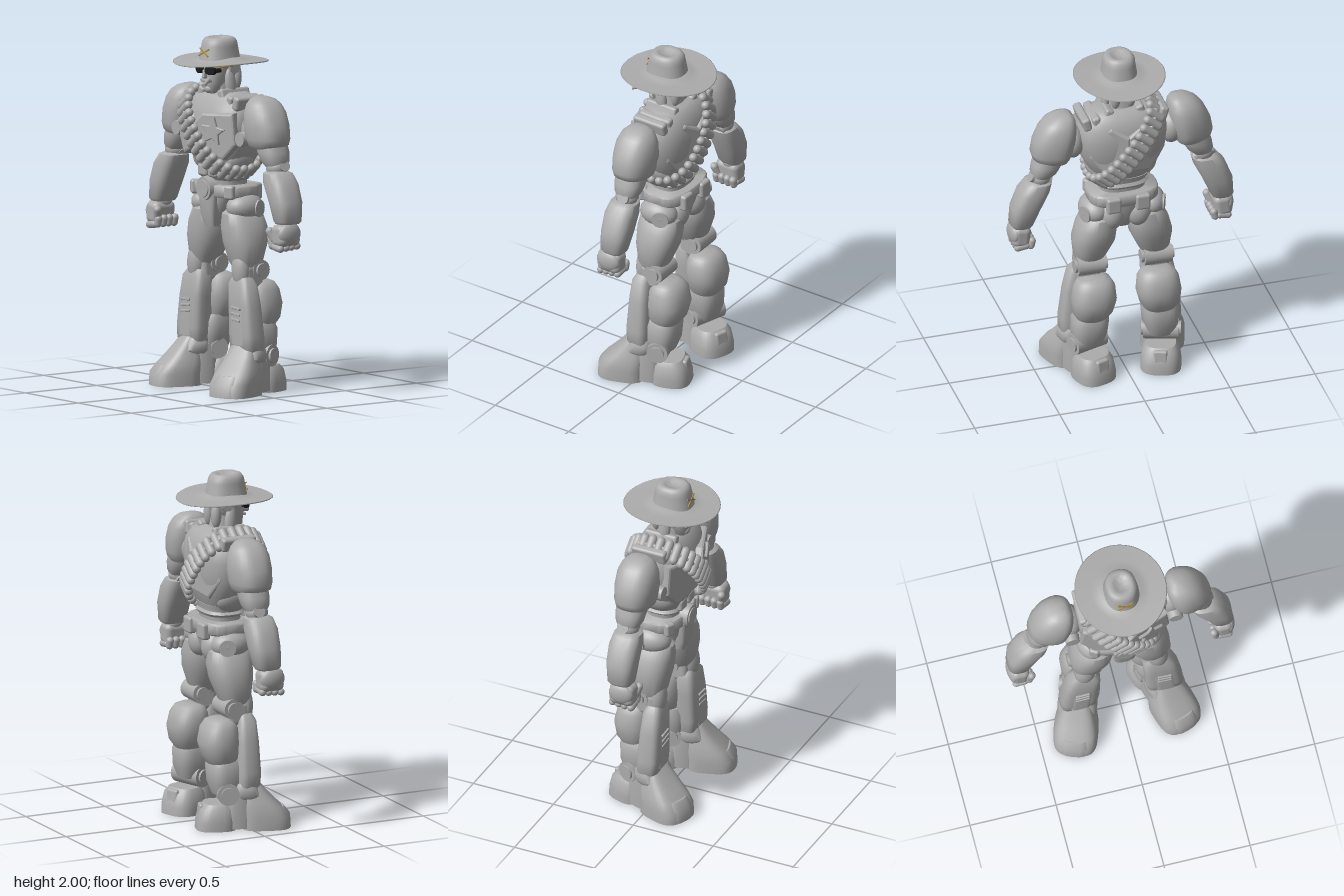
import * as THREE from 'three';
import { toCreasedNormals } from 'three/addons/utils/BufferGeometryUtils.js';
import { RoundedBoxGeometry } from 'three/addons/geometries/RoundedBoxGeometry.js';

const grey = new THREE.MeshStandardMaterial({ color: 0xacacac });
grey.name = 'grey';
const black = new THREE.MeshStandardMaterial({ color: 0x1a1a1a });
black.name = 'black';
const gold = new THREE.MeshStandardMaterial({ color: 0xb08a3c });
gold.name = 'gold';

const spow = (v, p) => Math.sign(v) * Math.abs(v) ** p;

// Superellipse rings [y, cx, cz, rx, rz], listed from bottom to top
function loft(rings, n = 2.6, s = 1, seg = 28) {
  const pos = [], idx = [];
  for (const [y, cx, cz, rx, rz] of rings)
    for (let i = 0; i < seg; i++) {
      const a = (i / seg) * Math.PI * 2;
      pos.push(cx * s + rx * spow(Math.cos(a), 2 / n), y, cz + rz * spow(Math.sin(a), 2 / n));
    }
  const last = rings.length - 1;
  for (let j = 0; j < last; j++)
    for (let i = 0; i < seg; i++) {
      const a = j * seg + i, b = j * seg + (i + 1) % seg;
      idx.push(a, a + seg, b, b, a + seg, b + seg);
    }
  for (const k of [0, last]) {
    const c = pos.length / 3, [y, cx, cz] = rings[k];
    pos.push(cx * s, y, cz);
    for (let i = 0; i < seg; i++) {
      const a = k * seg + i, b = k * seg + (i + 1) % seg;
      if (k) idx.push(c, b, a); else idx.push(c, a, b);
    }
  }
  const g = new THREE.BufferGeometry();
  g.setAttribute('position', new THREE.Float32BufferAttribute(pos, 3));
  g.setIndex(idx);
  return toCreasedNormals(g, 0.8);
}

const ball = (rx, ry, rz) => new THREE.SphereGeometry(1, 24, 16).scale(rx, ry, rz);
const box = (w, h, d, r = 0.015) => new RoundedBoxGeometry(w, h, d, 3, Math.min(r, w / 3, h / 3, d / 3));
const discX = (r, len) => new THREE.CylinderGeometry(r, r, len, 24).rotateZ(Math.PI / 2);
const discZ = (r, len) => new THREE.CylinderGeometry(r, r * 1.1, len, 28).rotateX(Math.PI / 2);

function add(parent, name, geo, p = [0, 0, 0], r = [0, 0, 0], mat = grey) {
  const m = new THREE.Mesh(geo, mat);
  m.name = name;
  m.position.set(...p);
  m.rotation.set(...r);
  parent.add(m);
  return m;
}

// Bevelled plate from a flat outline
function plate(points, depth, bevel) {
  const shape = new THREE.Shape(points.map(([x, y]) => new THREE.Vector2(x, y)));
  return new THREE.ExtrudeGeometry(shape, { depth, bevelEnabled: true, bevelSize: bevel, bevelThickness: bevel, bevelSegments: 2 });
}

function rod(parent, name, a, b, r, mat) {
  const va = new THREE.Vector3(...a), vb = new THREE.Vector3(...b), d = vb.clone().sub(va);
  const m = add(parent, name, new THREE.CylinderGeometry(r, r, d.length(), 12), [0, 0, 0], [0, 0, 0], mat);
  m.position.copy(va).add(vb).multiplyScalar(0.5);
  m.quaternion.setFromUnitVectors(new THREE.Vector3(0, 1, 0), d.normalize());
}

function buildHead(g) {
  add(g, 'neck', loft([[1.62, 0, -0.02, 0.09, 0.09], [1.7, 0, -0.01, 0.07, 0.075], [1.78, 0, 0, 0.065, 0.075]]));
  add(g, 'head', loft([[1.685, 0, 0.055, 0.035, 0.035], [1.7, 0, 0.045, 0.05, 0.055], [1.75, 0, 0.025, 0.066, 0.083],
    [1.8, 0, 0.008, 0.08, 0.1], [1.88, 0, 0.008, 0.088, 0.103]]));
  add(g, 'nose', box(0.022, 0.05, 0.03), [0, 1.795, 0.113], [-0.2, 0, 0]);
  add(g, 'moustache', box(0.09, 0.018, 0.03), [0, 1.758, 0.1]);
  add(g, 'chin', ball(0.035, 0.025, 0.025), [0, 1.71, 0.085]);
  for (const s of [1, -1]) {
    add(g, 'ear', discX(0.036, 0.025), [s * 0.09, 1.835, -0.025]);
    add(g, 'sideHair', ball(0.025, 0.095, 0.035), [s * 0.085, 1.735, -0.005], [0.1, 0, s * 0.06]);
    add(g, 'backHair', ball(0.03, 0.075, 0.03), [s * 0.045, 1.77, -0.075]);
    add(g, 'lens', discZ(0.036, 0.022).scale(1, 0.68, 1), [s * 0.051, 1.82, 0.111], [0, s * 0.25, 0], black);
    rod(g, 'lensSide', [s * 0.083, 1.822, 0.1], [s * 0.088, 1.824, 0.07], 0.014, black);
    rod(g, 'glassesArm', [s * 0.094, 1.838, 0.1], [s * 0.102, 1.842, -0.01], 0.004, gold);
    rod(g, 'glassesRim', [0, 1.838, 0.124], [s * 0.094, 1.842, 0.1], 0.0035, gold);
  }
  rod(g, 'cigar', [0.025, 1.766, 0.1], [0.09, 1.745, 0.19], 0.012, grey);
  // Hat: brim lifts a little at the sides and drops front and back
  const brim = new THREE.LatheGeometry([[0.02, 1.858], [0.15, 1.856], [0.272, 1.858], [0.278, 1.862], [0.272, 1.866],
    [0.18, 1.866], [0.13, 1.874], [0.1, 1.89], [0.02, 1.89]].map(([x, y]) => new THREE.Vector2(x, y)), 56);
  const p = brim.attributes.position;
  for (let i = 0; i < p.count; i++) {
    const x = p.getX(i) * 0.935, z = p.getZ(i);
    p.setXYZ(i, x, p.getY(i) + 0.18 * x * x - 0.09 * z * z, z);
  }
  brim.computeVertexNormals();
  add(g, 'hatBrim', brim);
  add(g, 'hatCrown', loft([[1.855, 0, 0.01, 0.106, 0.122], [1.885, 0, 0.01, 0.1, 0.116], [1.95, 0, 0.01, 0.09, 0.104],
    [1.975, 0, 0.01, 0.088, 0.098], [1.993, 0, 0.01, 0.076, 0.086], [2, 0, 0.01, 0.06, 0.068], [1.992, 0, 0.01, 0.04, 0.047],
    [1.982, 0, 0.01, 0.02, 0.03]], 2.3));
  for (const s of [1, -1])
    add(g, 'hatEmblem', new THREE.BoxGeometry(0.095, 0.007, 0.006), [0, 1.918, 0.12], [-0.18, 0, s * 0.45], gold);
}

function buildTorso(g) {
  add(g, 'chest', loft([[1.23, 0, -0.02, 0.14, 0.105], [1.32, 0, -0.025, 0.2, 0.145], [1.42, 0, -0.022, 0.25, 0.17],
    [1.53, 0, -0.025, 0.262, 0.175], [1.61, 0, -0.03, 0.25, 0.155], [1.67, 0, -0.03, 0.21, 0.12], [1.695, 0, -0.03, 0.14, 0.085]], 2.6));
  for (const s of [1, -1]) {
    const flip = pts => s > 0 ? pts : pts.map(([x, y]) => [-x, y]).reverse();
    const front = flip([[-0.02, 1.4], [0.16, 1.34], [0.235, 1.42], [0.22, 1.58], [0.03, 1.57], [-0.02, 1.52]]);
    add(g, 'chestPlate', plate(front, 0.07, 0.014), [0, 0, 0.105], [0, s * 0.35, 0]);
    const back = flip([[0.01, 1.36], [0.13, 1.33], [0.215, 1.43], [0.21, 1.58], [0.1, 1.61], [0.01, 1.56]]);
    add(g, 'backPlate', plate(back, 0.05, 0.014), [0, 0, -0.205], [0, -s * 0.35, 0]);
    add(g, 'collar', box(0.05, 0.1, 0.2), [s * 0.1, 1.665, -0.02], [0, 0, s * 0.35]);
    for (const x of [0.165, 0.225])
      add(g, 'shoulderStrap', box(0.05, 0.08, 0.21, 0.02), [s * x, 1.645, -0.03], [0, 0, -s * 0.25]);
    add(g, 'ribPad', ball(0.055, 0.085, 0.1), [s * 0.145, 1.3, -0.02], [0, 0, -s * 0.5]);
    add(g, 'abdomenPad', box(0.08, 0.07, 0.05, 0.02), [s * 0.047, 1.245, 0.08]);
  }
  add(g, 'waist', loft([[1.14, 0, -0.03, 0.14, 0.1], [1.2, 0, -0.03, 0.13, 0.1], [1.26, 0, -0.03, 0.16, 0.115]]));
  add(g, 'waistRib', loft([[1.195, 0, -0.03, 0.14, 0.11], [1.21, 0, -0.03, 0.155, 0.12], [1.225, 0, -0.03, 0.14, 0.11]]));
  // Five-pointed badge
  const star = Array.from({ length: 10 }, (_, i) => {
    const a = Math.PI / 2 + i * Math.PI / 5, r = i % 2 ? 0.033 : 0.075;
    return [r * Math.cos(a), r * Math.sin(a)];
  });
  add(g, 'starBadge', plate(star, 0.008, 0.006), [0.13, 1.485, 0.15], [0, 0.35, -0.12]);
  // Cartridge belt looping over the right shoulder and under the left ribs
  const d = new THREE.Vector3(0.63, -0.777, 0), tilt = Math.atan2(0.63, 0.777);
  const at = a => new THREE.Vector3(-0.015, 1.46, -0.015).addScaledVector(d, 0.283 * spow(Math.cos(a), 0.85))
    .add(new THREE.Vector3(0, 0, 0.208 * spow(Math.sin(a), 0.85)));
  const path = Array.from({ length: 96 }, (_, i) => at(i / 96 * Math.PI * 2));
  const curve = new THREE.CatmullRomCurve3(path, true);
  add(g, 'beltBand', new THREE.TubeGeometry(curve, 96, 0.014, 8, true));
  curve.getSpacedPoints(31).slice(0, 31).forEach(q =>
    add(g, 'cartridge', new THREE.CapsuleGeometry(0.025, 0.082, 5, 12), q.toArray(), [0, 0, tilt - Math.PI / 2]));
}

function buildHips(g) {
  add(g, 'pelvis', loft([[0.925, 0, -0.03, 0.045, 0.07], [0.98, 0, -0.03, 0.065, 0.11], [1.06, 0, -0.035, 0.11, 0.125], [1.15, 0, -0.04, 0.16, 0.13]]));
  add(g, 'crotchPlate', loft([[0.93, 0, 0.06, 0.045, 0.03], [1.0, 0, 0.075, 0.062, 0.035], [1.12, 0, 0.08, 0.07, 0.035]], 4));
  add(g, 'belt', loft([[1.1, 0, -0.04, 0.195, 0.135], [1.11, 0, -0.04, 0.205, 0.143], [1.16, 0, -0.04, 0.205, 0.143], [1.17, 0, -0.04, 0.195, 0.135]], 2.8));
  add(g, 'buckle', discZ(0.066, 0.05), [0, 1.145, 0.1]);
  add(g, 'buckleCentre', discZ(0.048, 0.016), [0, 1.145, 0.123]);
  for (const s of [1, -1]) {
    add(g, 'beltPouch', box(0.085, 0.095, 0.05, 0.015), [s * 0.085, 1.12, -0.175]);
    add(g, 'beltClip', box(0.06, 0.08, 0.05), [s * 0.165, 1.135, 0.06], [0, s * 0.5, 0]);
    add(g, 'hip', ball(0.085, 0.08, 0.115), [s * 0.165, 1.045, -0.045]);
    add(g, 'hipDisc', discX(0.048, 0.05), [s * 0.215, 1.04, -0.09], [0, s * 0.4, 0]);
    add(g, 'seat', ball(0.075, 0.09, 0.07), [s * 0.08, 1.02, -0.11]);
  }
}

function buildArm(g, s) {
  add(g, 'shoulderJoint', ball(0.07, 0.1, 0.09), [s * 0.29, 1.5, -0.03]);
  add(g, 'armpitDisc', discZ(0.04, 0.04), [s * 0.3, 1.455, 0.075]);
  // Shoulder pad narrows front to back towards its outer edge
  const pad = loft([[1.41, 0.405, -0.035, 0.085, 0.1], [1.43, 0.415, -0.035, 0.105, 0.118], [1.465, 0.413, -0.035, 0.118, 0.127],
    [1.54, 0.398, -0.035, 0.12, 0.13], [1.61, 0.379, -0.035, 0.107, 0.12], [1.655, 0.364, -0.035, 0.087, 0.098],
    [1.682, 0.35, -0.035, 0.062, 0.07], [1.695, 0.34, -0.035, 0.03, 0.035]], 2.7, s);
  const p = pad.attributes.position;
  for (let i = 0; i < p.count; i++)
    p.setZ(i, -0.035 + (p.getZ(i) + 0.035) * (1 - 1.6 * Math.max(0, Math.abs(p.getX(i)) - 0.36)));
  add(g, 'shoulderPad', toCreasedNormals(pad, 0.8));
  add(g, 'upperArm', loft([[1.31, 0.47, -0.04, 0.055, 0.06], [1.34, 0.458, -0.04, 0.075, 0.078], [1.39, 0.44, -0.04, 0.085, 0.087], [1.45, 0.42, -0.04, 0.08, 0.085]], 2.4, s));
  add(g, 'elbow', ball(0.062, 0.055, 0.065), [s * 0.478, 1.305, -0.04]);
  add(g, 'elbowDisc', discX(0.035, 0.12), [s * 0.48, 1.3, -0.05], [0, 0, s * 0.4]);
  add(g, 'forearm', loft([[1.0, 0.588, -0.03, 0.055, 0.065], [1.015, 0.588, -0.03, 0.066, 0.076], [1.12, 0.562, -0.035, 0.085, 0.087],
    [1.22, 0.518, -0.035, 0.09, 0.09], [1.275, 0.49, -0.035, 0.076, 0.078], [1.29, 0.485, -0.035, 0.05, 0.05]], 2.8, s));
  add(g, 'wrist', ball(0.05, 0.04, 0.055), [s * 0.585, 0.995, -0.025]);
  add(g, 'palm', box(0.105, 0.13, 0.15, 0.035), [s * 0.592, 0.935, -0.015], [0, 0, s * 0.08]);
  add(g, 'handGuard', ball(0.035, 0.065, 0.075), [s * 0.625, 0.945, -0.015]);
  for (let i = 0; i < 4; i++) {
    const z = 0.042 - i * 0.038;
    add(g, 'knuckle', new THREE.CapsuleGeometry(0.022, 0.05, 5, 12), [s * 0.592, 0.868 + i * 0.003, z], [0, 0, Math.PI / 2 - s * 0.15]);
    add(g, 'fingertip', new THREE.CapsuleGeometry(0.022, 0.03, 5, 12), [s * 0.538, 0.89, z], [0, 0, s * 0.25]);
  }
  add(g, 'thumb', new THREE.CapsuleGeometry(0.023, 0.05, 5, 12), [s * 0.538, 0.935, 0.045], [0.3, 0, s * 0.35]);
}

function buildLeg(g, s) {
  add(g, 'thigh', loft([[0.68, 0.195, -0.035, 0.06, 0.06], [0.74, 0.188, -0.035, 0.09, 0.09], [0.85, 0.168, -0.045, 0.122, 0.12],
    [0.94, 0.152, -0.048, 0.115, 0.13], [1.01, 0.14, -0.045, 0.088, 0.12], [1.05, 0.135, -0.04, 0.05, 0.06]], 2.4, s));
  add(g, 'knee', discX(0.058, 0.16), [s * 0.195, 0.695, -0.08]);
  add(g, 'kneeDisc', discX(0.038, 0.19), [s * 0.195, 0.695, -0.08]);
  add(g, 'kneeJoint', box(0.14, 0.14, 0.13, 0.03), [s * 0.2, 0.66, -0.04]);
  add(g, 'kneecap', ball(0.06, 0.115, 0.05), [s * 0.21, 0.7, 0.015], [0, 0, s * 0.08]);
  add(g, 'shin', loft([[0.235, 0.25, -0.005, 0.095, 0.06], [0.255, 0.25, 0, 0.105, 0.068], [0.33, 0.247, 0.003, 0.107, 0.07],
    [0.5, 0.232, 0.005, 0.1, 0.064], [0.62, 0.215, 0.007, 0.09, 0.056], [0.66, 0.21, 0.005, 0.06, 0.04]], 3.6, s));
  add(g, 'shinRidge', loft([[0.28, 0.25, 0.04, 0.06, 0.037], [0.45, 0.235, 0.04, 0.06, 0.034], [0.61, 0.215, 0.03, 0.045, 0.03]], 4, s));
  for (let i = 0; i < 3; i++)
    add(g, 'shinVent', box(0.08, 0.014, 0.016, 0.004), [s * 0.237, 0.42 + i * 0.033, 0.072], [0, 0, -s * 0.08]);
  add(g, 'calf', loft([[0.37, 0.2, -0.12, 0.085, 0.075], [0.42, 0.198, -0.13, 0.115, 0.1], [0.5, 0.19, -0.135, 0.128, 0.112],
    [0.58, 0.187, -0.13, 0.118, 0.1], [0.62, 0.187, -0.125, 0.095, 0.078], [0.635, 0.187, -0.12, 0.06, 0.05]], 2.4, s));
  add(g, 'lowerCalf', loft([[0.2, 0.215, -0.095, 0.08, 0.08], [0.27, 0.21, -0.1, 0.1, 0.1], [0.36, 0.205, -0.105, 0.105, 0.1], [0.4, 0.2, -0.105, 0.09, 0.085]], 2.8, s));

  const foot = new THREE.Group();
  foot.name = 'foot';
  foot.position.set(s * 0.25, 0, 0);
  foot.rotation.y = s * 0.32;
  g.add(foot);
  add(foot, 'toe', loft([[0, 0, 0.115, 0.125, 0.14], [0.07, 0, 0.113, 0.126, 0.137], [0.12, 0, 0.09, 0.12, 0.12], [0.16, 0, 0.07, 0.108, 0.1],
    [0.22, 0, 0.045, 0.09, 0.07], [0.275, 0, 0.025, 0.07, 0.045]], 3.2));
  add(foot, 'toeCap', loft([[0, 0, 0.175, 0.09, 0.085], [0.075, 0, 0.175, 0.088, 0.08], [0.12, 0, 0.155, 0.075, 0.065]], 3));
  add(foot, 'ankleBand', loft([[0.18, 0, 0.01, 0.1, 0.07], [0.2, 0, 0.01, 0.112, 0.082], [0.24, 0, 0, 0.108, 0.075], [0.27, 0, 0, 0.095, 0.06]], 3));
  add(foot, 'instep', loft([[0.01, 0, -0.04, 0.1, 0.09], [0.15, 0, -0.04, 0.1, 0.08], [0.25, 0, -0.04, 0.09, 0.07]], 3));
  add(foot, 'heel', loft([[0, 0, -0.165, 0.115, 0.115], [0.05, 0, -0.165, 0.115, 0.113], [0.12, 0, -0.16, 0.105, 0.1], [0.15, 0, -0.155, 0.085, 0.078]], 2.8));
  add(foot, 'heelPanel', box(0.08, 0.14, 0.04), [0, 0.075, -0.25], [0.12, 0, 0]);
  add(foot, 'ankleDisc', discX(0.062, 0.2), [0, 0.21, -0.105]);
  add(foot, 'ankleCap', discX(0.042, 0.225), [0, 0.21, -0.105]);
}

export function createModel() {
  const model = new THREE.Group();
  model.name = 'armouredRanger';
  const part = (name, fn, s) => {
    const g = new THREE.Group();
    g.name = name;
    fn(g, s);
    model.add(g);
  };
  part('headAndHat', buildHead);
  part('torso', buildTorso);
  part('hips', buildHips);
  for (const [side, s] of [['left', 1], ['right', -1]]) {
    part(side + 'Arm', buildArm, s);
    part(side + 'Leg', buildLeg, s);
  }
  return model;
}
